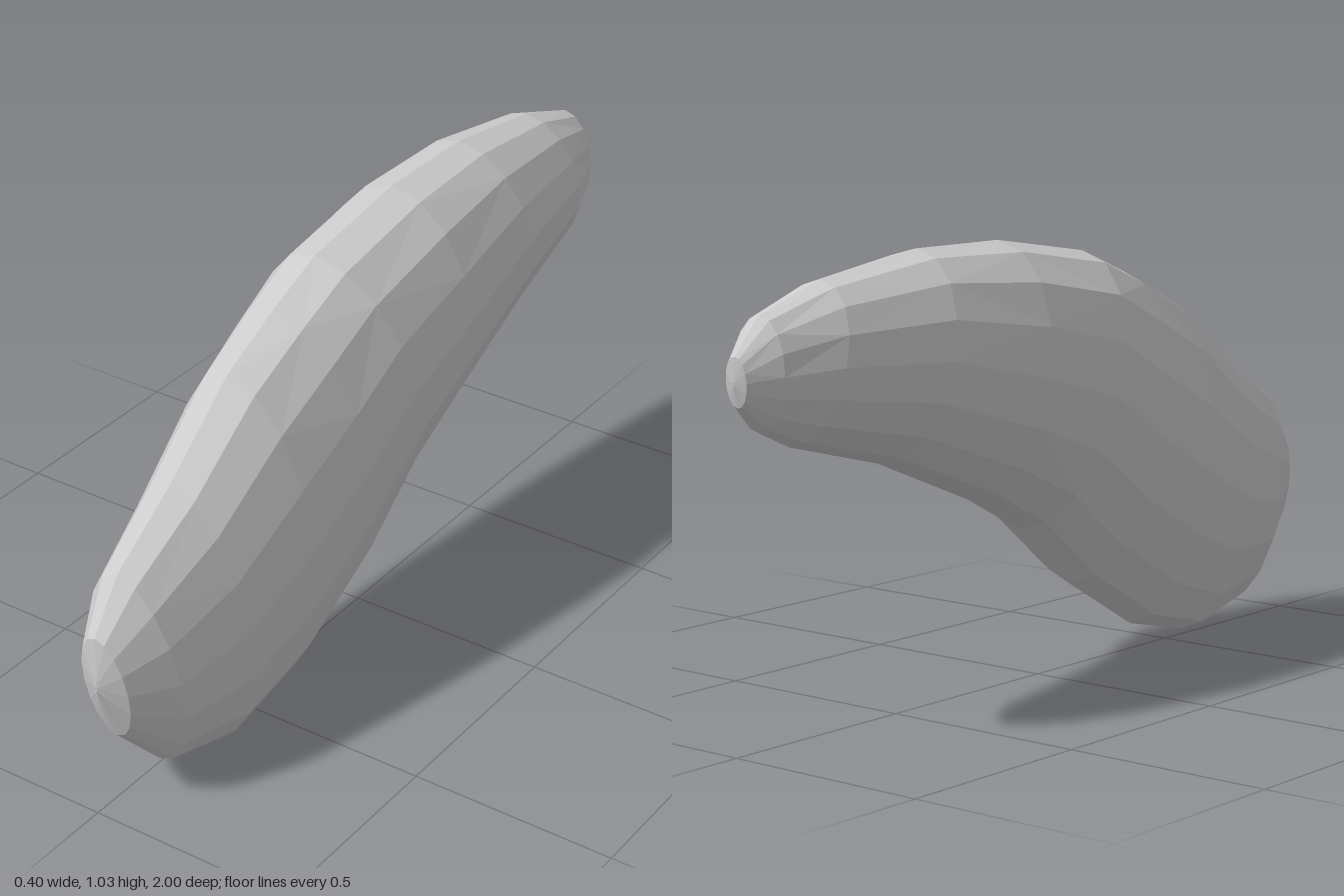
import * as THREE from 'three';

// Sections along the curved body, front to back:
// [top z, top y, bottom z, bottom y, half width]
const SECTIONS = [
  [1.0, 0.36, 1.0, 0.34, 0],
  [0.99, 0.47, 0.95, 0.2, 0.06],
  [0.9, 0.58, 0.82, 0.06, 0.115],
  [0.7, 0.7, 0.62, 0.01, 0.155],
  [0.48, 0.86, 0.4, 0.06, 0.18],
  [0.3, 0.94, 0.15, 0.2, 0.193],
  [0.14, 1.0, -0.05, 0.36, 0.2],
  [-0.17, 1.045, -0.22, 0.45, 0.195],
  [-0.45, 1.045, -0.55, 0.58, 0.168],
  [-0.75, 1.0, -0.83, 0.65, 0.122],
  [-0.93, 0.94, -0.92, 0.69, 0.075],
  [-1.0, 0.86, -0.985, 0.75, 0.03],
  [-1.0, 0.81, -1.0, 0.8, 0],
];
const SIDES = 16;

// Point on an elliptical section; the body leans slightly to one side
function sectionPoint([tz, ty, bz, by, w], j) {
  const a = (j / SIDES) * Math.PI * 2;
  const t = (1 - Math.cos(a)) / 2;
  const y = ty + (by - ty) * t;
  return [w * Math.sin(a) + 0.035 - 0.055 * y, y - 0.01, tz + (bz - tz) * t];
}

function bodyGeometry() {
  const positions = [];
  const index = [];
  for (const section of SECTIONS) {
    for (let j = 0; j < SIDES; j++) positions.push(...sectionPoint(section, j));
  }
  for (let i = 0; i < SECTIONS.length - 1; i++) {
    for (let j = 0; j < SIDES; j++) {
      const k = (j + 1) % SIDES;
      const a = i * SIDES + j, b = i * SIDES + k;
      const c = b + SIDES, d = a + SIDES;
      // Alternate the diagonals for an irregular faceted skin
      if ((i + j) % 2) index.push(a, b, d, b, c, d);
      else index.push(a, b, c, a, c, d);
    }
  }
  const geometry = new THREE.BufferGeometry();
  geometry.setAttribute('position', new THREE.Float32BufferAttribute(positions, 3));
  geometry.setIndex(index);
  geometry.computeVertexNormals();
  return geometry;
}

export function createModel() {
  const group = new THREE.Group();
  group.name = 'bean';
  const material = new THREE.MeshStandardMaterial({ color: 0xcccccc, flatShading: true });
  const body = new THREE.Mesh(bodyGeometry(), material);
  body.name = 'body';
  group.add(body);
  return group;
}
